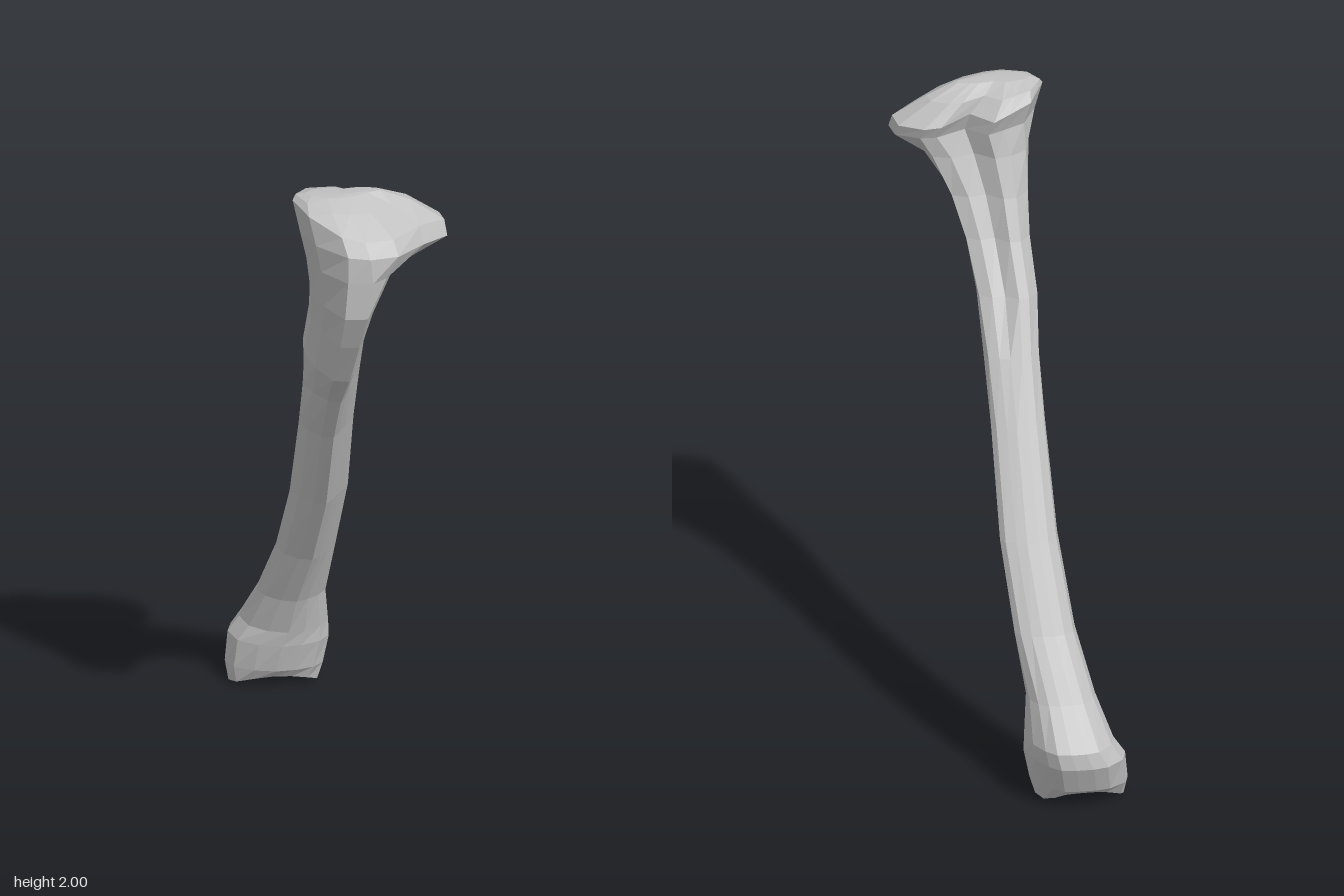
import * as THREE from 'three';

// Unit outlines (u = x, v = z), 14 points each: front, left side, back, right side
const ANKLE = [[0, 1], [.4, .95], [.78, .75], [1, .4], [.85, -.2], [.62, -.67], [.4, -.95],
  [.1, -1], [-.25, -1], [-.55, -.92], [-.9, -.55], [-1, -.1], [-.85, .5], [-.45, .85]];
const SHAFT = [[.1, 1], [.35, .6], [.6, .2], [.85, -.2], [1, -.55], [.85, -.8], [.5, -.92],
  [.15, -1], [-.25, -1], [-.57, -.96], [-.88, -.75], [-1, -.2], [-.75, .35], [-.3, .85]];
const CREST = [[.25, 1], [.42, .75], [.45, .3], [.55, -.15], [.95, -.5], [1, -.72], [.6, -.85],
  [.15, -.78], [-.25, -1], [-.58, -.98], [-.92, -.78], [-1, -.2], [-.78, .42], [-.32, .97]];
const PLATEAU = [[-.13, 1], [.26, .83], [.65, .28], [1, -.11], [.96, -.5], [.65, -.78], [.43, -.83],
  [.02, -.64], [-.26, -1], [-.48, -.89], [-.78, -.72], [-1, -.17], [-.83, .44], [-.43, .94]];
const OUTLINES = [ANKLE, SHAFT, CREST, PLATEAU];
const N = ANKLE.length;

// Cross-sections: y, x min, x max, z min, z max, outline blend, sideways tilt, front and back droop
const SECTIONS = [
  [0, -.28, -.015, -.53, -.405, 0, 0, -.035],
  [.06, -.29, .002, -.57, -.385, 0],
  [.15, -.28, .02, -.61, -.365, 0],
  [.2, -.245, .02, -.605, -.355, .1],
  [.32, -.2, .012, -.51, -.315, .4],
  [.5, -.155, .035, -.395, -.22, .8],
  [.75, -.125, .055, -.26, -.07, 1],
  [1.05, -.115, .055, -.1, .105, 1],
  [1.24, -.115, .06, 0, .265, 1.2],
  [1.4, -.125, .065, .085, .465, 1.7],
  [1.55, -.115, .085, .17, .55, 2],
  [1.67, -.12, .12, .225, .61, 2],
  [1.79, -.135, .2, .26, .615, 2.45],
  [1.865, -.155, .29, .265, .612, 3, .015],
  [1.935, -.175, .283, .25, .58, 3, .04, .03],
  [1.975, -.165, .18, .29, .5, 3, .015, .01],
  [1.997, -.14, .09, .355, .435, 3],
];

// One ring of points, blended between two neighbouring outlines
function ring([y, x0, x1, z0, z1, blend, tilt = 0, droop = 0]) {
  const k = Math.min(Math.floor(blend), OUTLINES.length - 2);
  return OUTLINES[k].map(([u0, v0], j) => {
    const [u1, v1] = OUTLINES[k + 1][j];
    const u = THREE.MathUtils.lerp(u0, u1, blend - k);
    const v = THREE.MathUtils.lerp(v0, v1, blend - k);
    return [
      (x0 + x1) / 2 + u * (x1 - x0) / 2,
      y - tilt * u - droop * v * v,
      (z0 + z1) / 2 + v * (z1 - z0) / 2,
    ];
  });
}

// Skin a run of rings, with an optional centre point closing either end
function loft(sections, bottom, top) {
  const pos = sections.flatMap(ring).flat();
  const index = [];
  const last = sections.length - 1;
  for (let i = 0; i < last; i++) {
    for (let j = 0; j < N; j++) {
      const a = i * N + j, b = i * N + (j + 1) % N;
      index.push(a, b, b + N, a, b + N, a + N);
    }
  }
  const cap = (centre, row, up) => {
    const c = pos.length / 3;
    pos.push(...centre);
    for (let j = 0; j < N; j++) {
      const a = row * N + j, b = row * N + (j + 1) % N;
      index.push(...(up ? [a, b, c] : [b, a, c]));
    }
  };
  if (bottom) cap(bottom, 0, false);
  if (top) cap(top, last, true);
  const geometry = new THREE.BufferGeometry();
  geometry.setAttribute('position', new THREE.Float32BufferAttribute(pos, 3));
  geometry.setIndex(index);
  const flat = geometry.toNonIndexed(); // hard facets
  flat.computeVertexNormals();
  return flat;
}

export function createModel() {
  const group = new THREE.Group();
  group.name = 'shinBone';
  const bone = new THREE.MeshStandardMaterial({ color: 0xc0c0c0 });
  bone.name = 'bone grey';
  bone.flatShading = true;

  const add = (name, geometry) => {
    const mesh = new THREE.Mesh(geometry, bone);
    mesh.name = name;
    group.add(mesh);
  };
  // Ankle end with a hollow joint face, shaft, and knee end with its front crest
  add('ankleEnd', loft(SECTIONS.slice(0, 5), [-.14, .05, -.47], null));
  add('shaft', loft(SECTIONS.slice(4, 11), null, null));
  add('kneeEnd', loft(SECTIONS.slice(10), null, [0, 2, .41]));
  return group;
}
